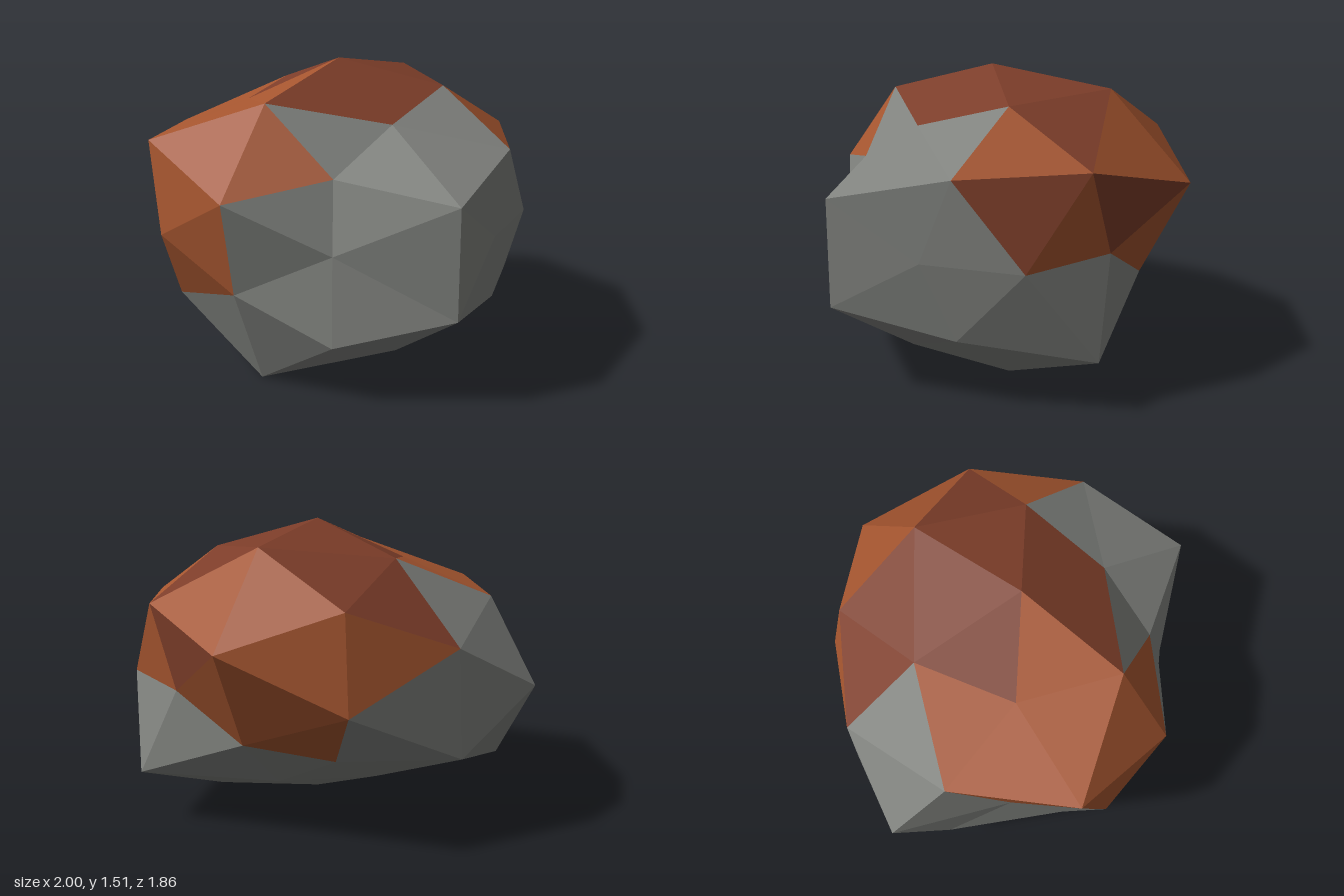
import * as THREE from 'three';

// Icosahedron corners and faces; every face is split into four below
const a = 0.526, b = 0.851;
const corners = [
  [-a, b, 0], [a, b, 0], [-a, -b, 0], [a, -b, 0],
  [0, -a, b], [0, a, b], [0, -a, -b], [0, a, -b],
  [b, 0, -a], [b, 0, a], [-b, 0, -a], [-b, 0, a],
].map((c) => new THREE.Vector3(...c));

// How far each corner and each edge midpoint bulges out of the sphere
const cornerBulge = [0.894, 1.01, 0.95, 1.03, 1.037, 0.827, 0.82, 1.128, 0.89, 0.9, 1.197, 0.985];
const edgeBulge = {
  '0-1': 1.04, '2-3': 0.936, '4-5': 0.81, '6-7': 1.075, '8-9': 0.98, '10-11': 0.83,
  '1-5': 0.86, '0-5': 1.04, '1-7': 1.135, '0-7': 1.025,
  '3-4': 0.975, '2-4': 1.16, '3-6': 0.84, '2-6': 0.84,
  '5-9': 1.11, '5-11': 0.995, '4-9': 1.12, '4-11': 0.92,
  '7-8': 1.155, '7-10': 1.095, '6-8': 0.9, '6-10': 1.135,
  '1-9': 1.035, '1-8': 1.08, '3-9': 0.98, '3-8': 1.18,
  '0-11': 1.13, '0-10': 1.07, '2-11': 0.99, '2-10': 1.145,
};

// Face corners, then the colour of the three corner facets and the middle one:
// g = grey stone, o = orange rust, r = dark rust
const faces = [
  [0, 11, 5, 'oooo'], [0, 5, 1, 'ogrr'], [0, 1, 7, 'rrrr'], [0, 7, 10, 'orgg'], [0, 10, 11, 'ogoo'],
  [1, 5, 9, 'gggg'], [5, 11, 4, 'gogg'], [11, 10, 2, 'gggg'], [10, 7, 6, 'gogg'], [7, 1, 8, 'orro'],
  [3, 9, 4, 'gggg'], [3, 4, 2, 'gggg'], [3, 2, 6, 'gggg'], [3, 6, 8, 'gggg'], [3, 8, 9, 'gggg'],
  [4, 9, 5, 'gggg'], [2, 4, 11, 'ggog'], [6, 2, 10, 'gggg'], [8, 6, 7, 'oooo'], [9, 8, 1, 'goor'],
];

// Squash the bulged sphere and move it onto the ground
const place = (direction, bulge) => direction.clone().normalize().multiplyScalar(bulge)
  .multiply(new THREE.Vector3(1, 0.765, 0.94))
  .add(new THREE.Vector3(0.02, 0.716, 0.08));

const corner = (i) => place(corners[i], cornerBulge[i]);
const middle = (i, j) => place(
  corners[i].clone().add(corners[j]),
  edgeBulge[`${Math.min(i, j)}-${Math.max(i, j)}`],
);

export function createModel() {
  const rock = new THREE.Group();
  rock.name = 'rock';

  // Sort the facets by colour
  const facets = { g: [], o: [], r: [] };
  for (const [p, q, s, colours] of faces) {
    const pq = middle(p, q), qs = middle(q, s), sp = middle(s, p);
    const four = [
      [corner(p), pq, sp], [corner(q), qs, pq], [corner(s), sp, qs], [pq, qs, sp],
    ];
    four.forEach((triangle, i) => facets[colours[i]].push(...triangle));
  }

  // One faceted shell per colour
  const shells = [
    ['g', 'stoneBody', 'stone grey', 0x80827e],
    ['o', 'rustPatches', 'rust orange', 0xa5552f],
    ['r', 'darkRustPatches', 'dark rust', 0x7c3d29],
  ];
  for (const [key, part, colourName, color] of shells) {
    const geometry = new THREE.BufferGeometry().setFromPoints(facets[key]);
    geometry.computeVertexNormals();
    const material = new THREE.MeshStandardMaterial({ color, flatShading: true });
    material.name = colourName;
    const mesh = new THREE.Mesh(geometry, material);
    mesh.name = part;
    rock.add(mesh);
  }
  return rock;
}
